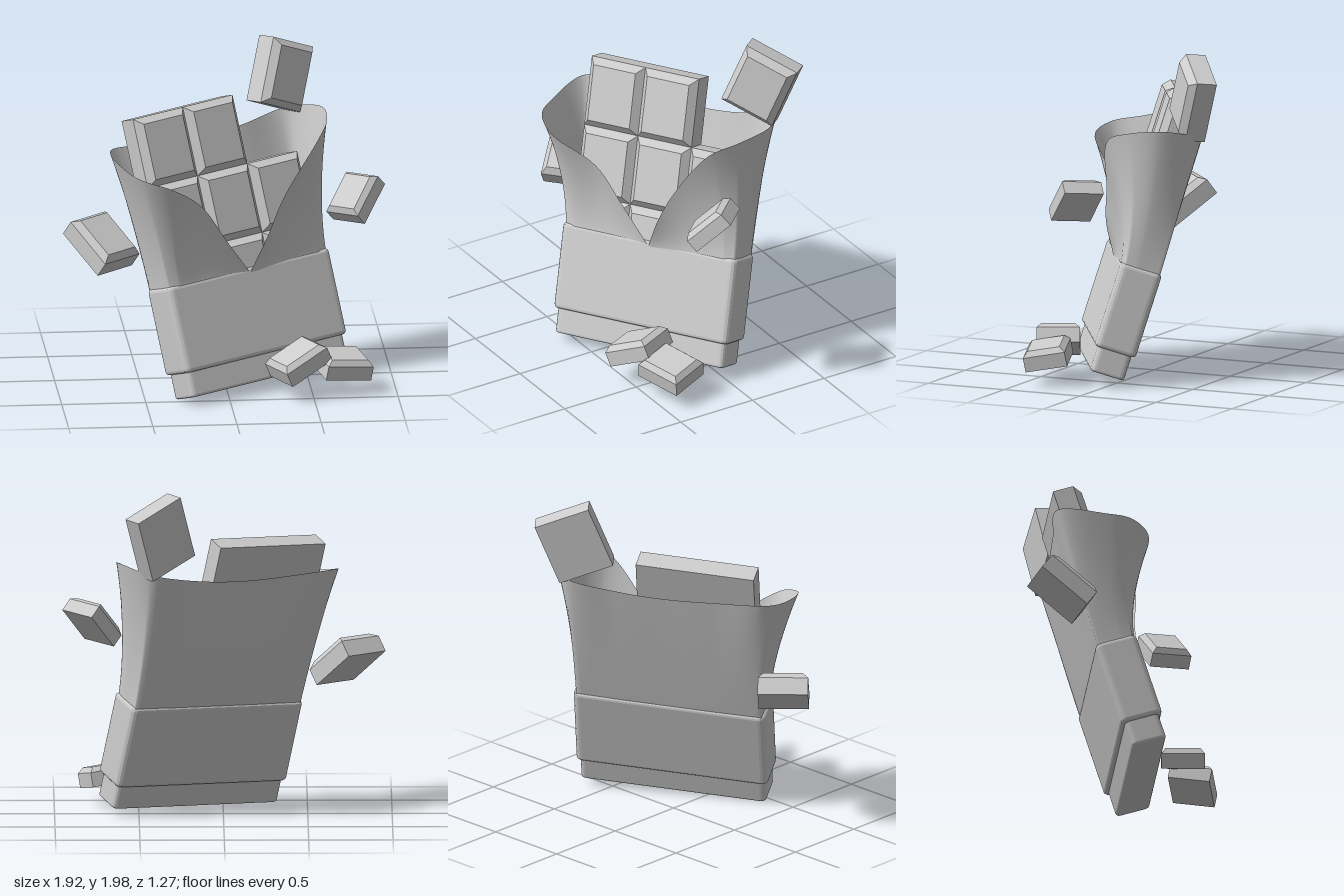
import * as THREE from 'three';

const grey = new THREE.MeshStandardMaterial({ color: 0xcccccc });
const greyThin = new THREE.MeshStandardMaterial({ color: 0xcccccc, side: THREE.DoubleSide });

const PW = 0.36, PH = 0.417, PD = 0.17; // one chocolate square

// Chocolate square: a box whose front rim is bevelled
function pieceGeometry() {
  const bevel = 0.045, inset = 0.04;
  const box = new THREE.BoxGeometry(PW, PH, PD, 1, 1, 2);
  const p = box.attributes.position;
  for (let i = 0; i < p.count; i++) {
    const z = p.getZ(i);
    if (Math.abs(z) < 1e-5) p.setZ(i, PD / 2 - bevel);
    else if (z > 0) {
      p.setX(i, p.getX(i) - Math.sign(p.getX(i)) * inset);
      p.setY(i, p.getY(i) - Math.sign(p.getY(i)) * inset);
    }
  }
  const g = box.toNonIndexed();
  g.computeVertexNormals();
  return g;
}

// Orients an object from its width and (roughly square to it) height directions
function orient(obj, width, height) {
  const x = new THREE.Vector3(...width).normalize();
  const z = x.clone().cross(new THREE.Vector3(...height)).normalize();
  const y = z.clone().cross(x);
  obj.quaternion.setFromRotationMatrix(new THREE.Matrix4().makeBasis(x, y, z));
}

function roundedRect(target, hw, hd, r) {
  target.moveTo(-hw + r, -hd);
  target.lineTo(hw - r, -hd);
  target.quadraticCurveTo(hw, -hd, hw, -hd + r);
  target.lineTo(hw, hd - r);
  target.quadraticCurveTo(hw, hd, hw - r, hd);
  target.lineTo(-hw + r, hd);
  target.quadraticCurveTo(-hw, hd, -hw, hd - r);
  target.lineTo(-hw, -hd + r);
  target.quadraticCurveTo(-hw, -hd, -hw + r, -hd);
  return target;
}

// Upright rounded block from y0 to y1 with softened rims, optionally hollow
function block(hw, hd, y0, y1, b, hole) {
  const shape = roundedRect(new THREE.Shape(), hw - b, hd - b, 0.02);
  if (hole) shape.holes.push(roundedRect(new THREE.Path(), hole[0], hole[1], 0.02));
  const g = new THREE.ExtrudeGeometry(shape, {
    depth: y1 - y0 - 2 * b, bevelEnabled: true, bevelSize: b, bevelThickness: b,
    bevelSegments: 3, curveSegments: 4,
  });
  g.rotateX(-Math.PI / 2);
  g.translate(0, y0 + b, 0);
  return g;
}

// Torn foil: a sheet flaring from the sleeve rim to a free curved edge
function foilGeometry() {
  const edge = new THREE.CatmullRomCurve3([
    [0, 0.64, 0.125], [-0.16, 0.86, 0.195], [-0.33, 1.09, 0.28], [-0.58, 1.24, 0.39],
    [-0.71, 1.33, 0.3], [-0.72, 1.4, 0.16], [-0.64, 1.53, -0.09], [-0.3, 1.5, -0.1],
    [0, 1.48, -0.1], [0.3, 1.49, -0.1], [0.62, 1.53, -0.08], [0.71, 1.5, 0.154],
    [0.62, 1.42, 0.33], [0.48, 1.33, 0.42], [0.22, 1.03, 0.31], [0.1, 0.83, 0.24],
    [0, 0.64, 0.125],
  ].map((q) => new THREE.Vector3(...q)));
  const half = [[0, 0.118], [-0.17, 0.118], [-0.33, 0.118], [-0.5, 0.118], [-0.565, 0.1],
    [-0.57, 0.03], [-0.565, -0.115], [-0.3, -0.118], [0, -0.118]];
  const rim = [...half, ...half.slice(0, -1).reverse().map(([x, z]) => [-x, z])];
  const spans = rim.length - 1, NS = spans * 8, NT = 20, bottom = 0.6;
  const pos = [], index = [];
  for (let i = 0; i <= NS; i++) {
    const s = i / NS, k = Math.min(Math.floor(s * spans), spans - 1), f = s * spans - k;
    const x = THREE.MathUtils.lerp(rim[k][0], rim[k + 1][0], f);
    const z = THREE.MathUtils.lerp(rim[k][1], rim[k + 1][1], f);
    const e = edge.getPoint(s);
    for (let j = 0; j <= NT; j++) {
      const t = j / NT, flare = Math.pow(t, 1.7);
      pos.push(x + (e.x - x) * flare, bottom + (e.y - bottom) * t, z + (e.z - z) * flare);
      if (i < NS && j < NT) {
        const a = i * (NT + 1) + j, b = a + NT + 1;
        index.push(a, a + 1, b, b, a + 1, b + 1);
      }
    }
  }
  const g = new THREE.BufferGeometry();
  g.setAttribute('position', new THREE.Float32BufferAttribute(pos, 3));
  g.setIndex(index);
  g.computeVertexNormals();
  return g;
}

export function createModel() {
  const model = new THREE.Group();
  model.name = 'openedChocolateBar';
  const add = (parent, name, geometry, material = grey) => {
    const mesh = new THREE.Mesh(geometry, material);
    mesh.name = name;
    parent.add(mesh);
    return mesh;
  };

  // Wrapped bar, turned and leaning back
  const bar = new THREE.Group();
  bar.name = 'wrappedBar';
  bar.position.set(0.21, 0.06, 0.25);
  orient(bar, [0.864, 0.043, -0.5], [-0.19, 0.95, -0.247]);
  model.add(bar);
  add(bar, 'foilBase', block(0.565, 0.105, 0, 0.3, 0.015));
  add(bar, 'paperSleeve', block(0.585, 0.128, 0.15, 0.67, 0.022, [0.55, 0.1]));
  add(bar, 'tornFoil', foilGeometry(), greyThin);

  // Chocolate slab: three columns, the top corner square broken off
  const square = pieceGeometry();
  for (let row = 0; row < 3; row++) {
    for (let col = 0; col < 3; col++) {
      if (row === 0 && col === 2) continue;
      add(bar, 'chocolateSquare', square)
        .position.set((col - 1) * PW, 1.685 - PH * (row + 0.5), 0.023);
    }
  }

  // Loose squares: centre, width direction, height direction, scale
  const loose = [
    [[0.39, 1.74, -0.44], [0.28, -0.14, -0.22], [0.08, 0.39, -0.12], 0.95],
    [[-0.73, 0.915, 0.18], [0.24, 0, -0.22], [-0.23, 0.25, -0.25], 0.83],
    [[0.77, 1.145, 0.14], [0.18, 0.02, 0.18], [0.136, 0.2, -0.154], 0.68],
    [[0.41, 0.23, 0.43], [0.11, 0, 0.23], [0.27, 0.14, -0.14], 0.72],
    [[0.68, 0.19, 0.37], [0.07, -0.04, 0.22], [0.29, -0.04, -0.07], 0.7],
  ];
  for (const [centre, width, height, scale] of loose) {
    const mesh = add(model, 'looseSquare', square);
    mesh.position.set(...centre);
    mesh.scale.setScalar(scale);
    orient(mesh, width, height);
  }
  return model;
}
